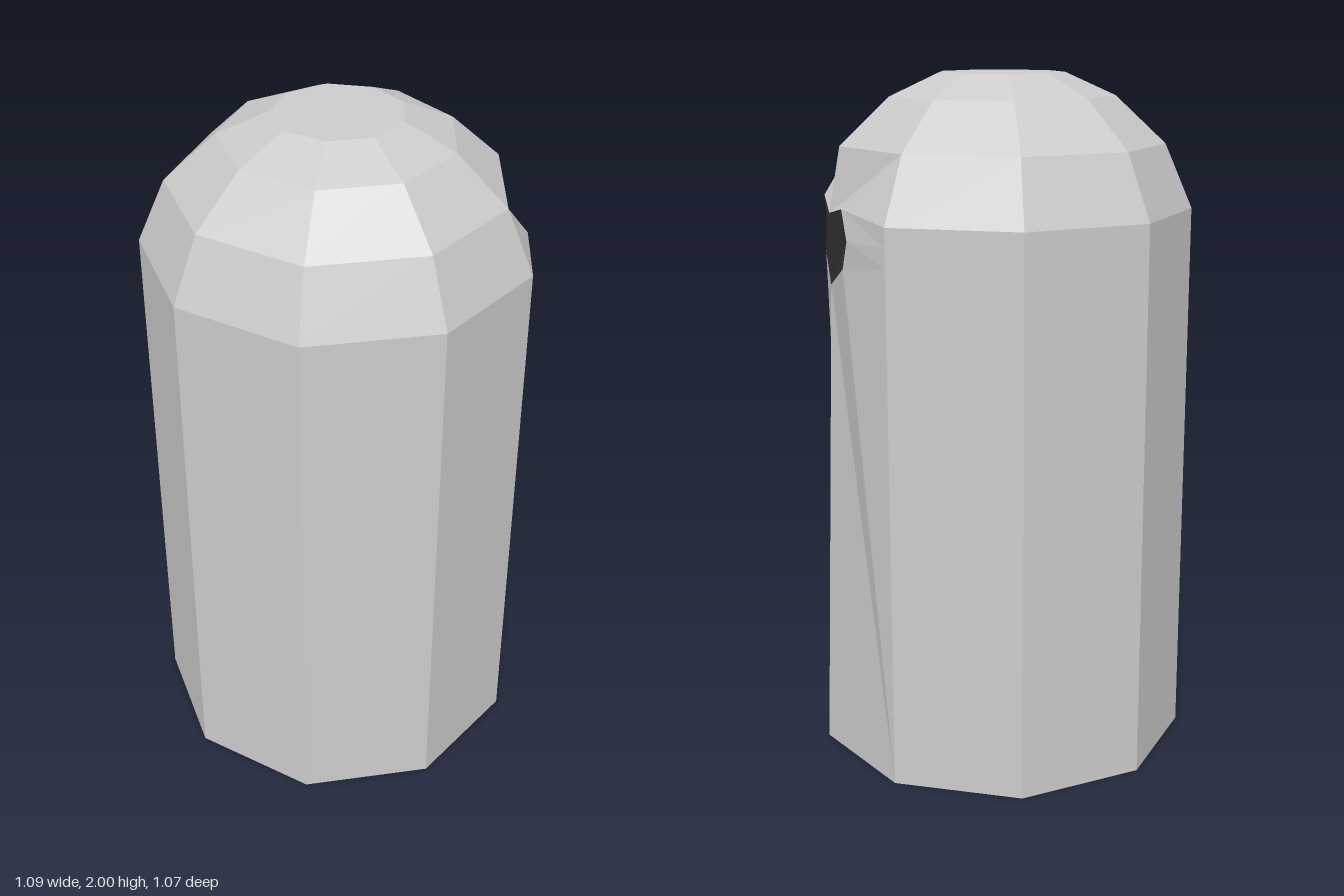
import * as THREE from 'three';

const SIDES = 9, CZ = 0.014, R = 0.554;

// Point k of a nine-sided ring, counted from the back towards the model's left
const ringPoint = (k, r, y) => {
  const a = (k * 2 * Math.PI) / SIDES;
  return [r * Math.sin(a), y, CZ - r * Math.cos(a)];
};

// Fan each polygon from its first corner into a flat-shaded mesh
function meshFromPolygons(name, polygons, color) {
  const pos = [];
  for (const p of polygons)
    for (let i = 1; i < p.length - 1; i++) pos.push(...p[0], ...p[i], ...p[i + 1]);
  const geo = new THREE.BufferGeometry();
  geo.setAttribute('position', new THREE.Float32BufferAttribute(pos, 3));
  geo.computeVertexNormals();
  const mesh = new THREE.Mesh(geo, new THREE.MeshStandardMaterial({ color, flatShading: true }));
  mesh.name = name;
  return mesh;
}

export function createModel() {
  const group = new THREE.Group();
  group.name = 'bin';
  const shell = [], opening = [];

  // Rings of the body and dome: radius, height
  const rings = [[R, 0], [R, 1.615], [0.474, 1.8], [0.329, 1.935], [0.184, 2]];
  const ring = ([r, y]) => Array.from({ length: SIDES }, (_, k) => ringPoint(k, r, y));
  const loops = rings.map(ring);
  for (let j = 0; j < loops.length - 1; j++) {
    for (let k = 0; k < SIDES; k++) {
      if (j < 2 && (k === 1 || k === 2)) continue; // panels around the opening
      const n = (k + 1) % SIDES;
      shell.push([loops[j][n], loops[j][k], loops[j + 1][k], loops[j + 1][n]]);
    }
  }
  shell.push(loops[0]); // base
  shell.push([...loops[4]].reverse()); // top cap

  // Two panels on the left side, folded in around the dark opening
  const foot = loops[0][2], brow = loops[2][2];
  const low = [0.5, 1.41, foot[2]], high = [0.5, 1.615, foot[2]];
  const halves = [
    { k: 3, rim: [[0.513, 1.48, 0.11], [0.51, 1.56, 0.165], [0.513, 1.645, 0.11]] },
    { k: 1, rim: [[0.467, 1.48, -0.245], [0.455, 1.56, -0.275], [0.467, 1.645, -0.245]] },
  ];
  for (const { k, rim: [a, b, c] } of halves) {
    const [c0, c1, c2, c3] = [0, 1.505, 1.56, 1.615].map((y) => ringPoint(k, R, y));
    const c4 = loops[2][k];
    // The rear half mirrors the order of corners, keeping the fan corner first
    const face = (p) => (k === 3 ? p : [p[0], ...p.slice(1).reverse()]);
    shell.push(
      face([c0, foot, low, a, c1]),
      face([c1, a, b, c2]),
      face([c2, b, c, c3]),
      face([c4, c3, c, high, brow]),
    );
    opening.push(face([low, high, c, b, a]));
  }

  group.add(meshFromPolygons('body', shell, 0xcccccc));
  group.add(meshFromPolygons('opening', opening, 0x333333));
  return group;
}
